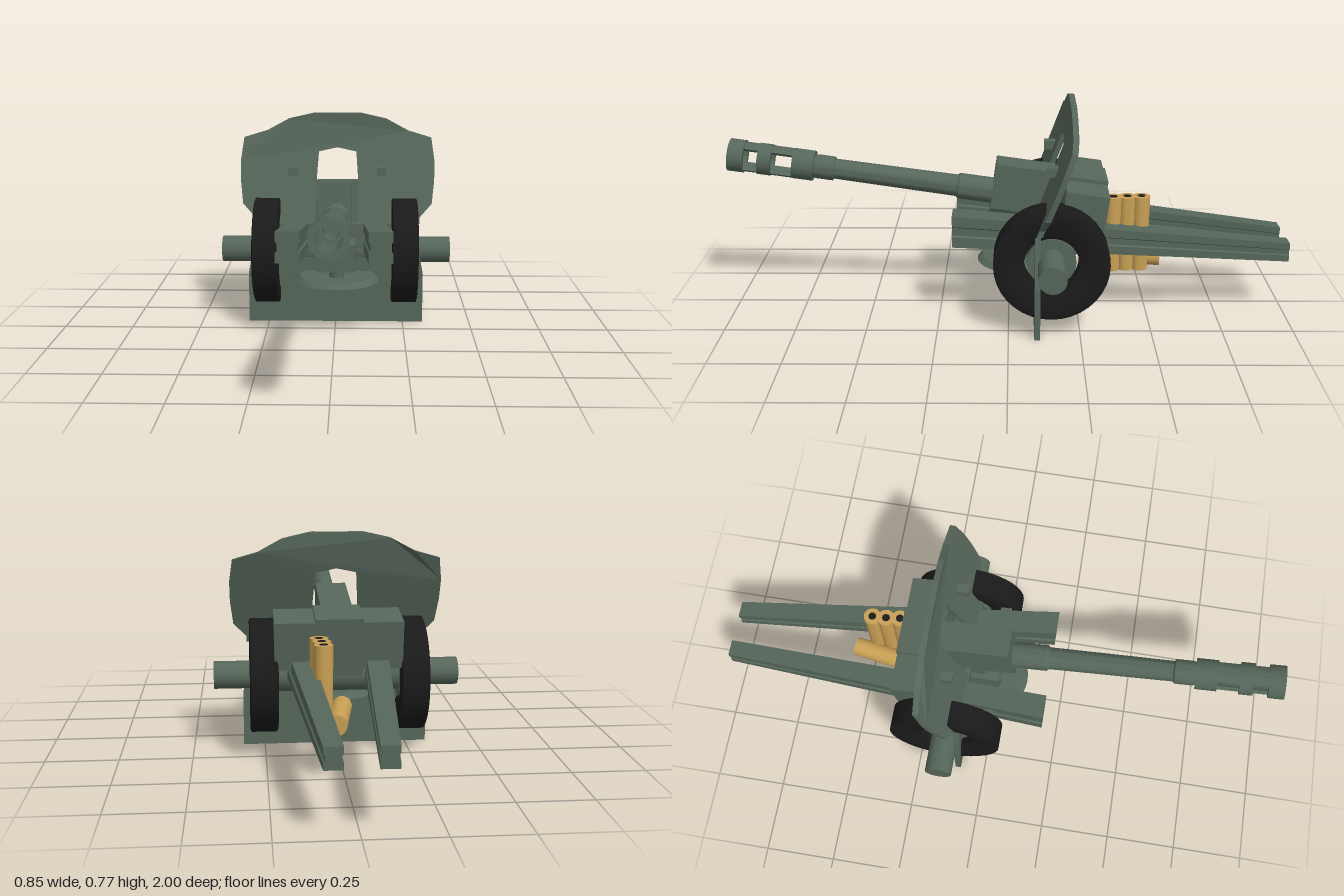
import * as THREE from 'three';
import { toCreasedNormals } from 'three/addons/utils/BufferGeometryUtils.js';

const paint = new THREE.MeshStandardMaterial({ color: 0x56665a });
const rubber = new THREE.MeshStandardMaterial({ color: 0x1a1a1a });
const brass = new THREE.MeshStandardMaterial({ color: 0xc9a055 });

function add(parent, name, geometry, x = 0, y = 0, z = 0, material = paint) {
  const mesh = new THREE.Mesh(geometry, material);
  mesh.name = name;
  mesh.position.set(x, y, z);
  parent.add(mesh);
  return mesh;
}

const box = (w, h, d) => new THREE.BoxGeometry(w, h, d);
const polygon = (pts) => new THREE.Shape(pts.map(([x, y]) => new THREE.Vector2(x, y)));

// Solid of revolution from a closed [radius, height] profile
function turned(profile, segments = 32) {
  const pts = [...profile, profile[0]].map(([r, h]) => new THREE.Vector2(r, h));
  return toCreasedNormals(new THREE.LatheGeometry(pts, segments), 0.5);
}

// Piece of a pipe wall between two angles, running along z
function pipeSector(inner, outer, from, to, length) {
  const s = new THREE.Shape();
  s.absarc(0, 0, outer, from, to, false);
  s.absarc(0, 0, inner, to, from, true);
  s.closePath();
  return toCreasedNormals(new THREE.ExtrudeGeometry(s, { depth: length, bevelEnabled: false, curveSegments: 12 }), 0.5);
}

// Leaning upper shield with a notch for the gun
function upperShield() {
  const half = [[0.305, 0.375], [0.305, 0.397], [0.35, 0.445], [0.36, 0.53], [0.361, 0.6],
    [0.35, 0.679], [0.265, 0.704], [0.182, 0.749], [0.09, 0.77]];
  const notch = [[-0.078, 0.375], [-0.078, 0.52], [-0.07, 0.63], [0, 0.645],
    [0.07, 0.63], [0.078, 0.52], [0.078, 0.375]];
  const left = half.map(([x, y]) => [-x, y]).reverse();
  const g = new THREE.ExtrudeGeometry(polygon([...half, ...left, ...notch]), { depth: 0.02, bevelEnabled: false });
  const p = g.attributes.position;
  for (let i = 0; i < p.count; i++) {
    const y = p.getY(i);
    const lean = y < 0.61 ? -0.125 - (y - 0.4) * 0.37 : -0.203 - Math.min(y - 0.61, 0.09) * 0.34;
    p.setZ(i, p.getZ(i) + lean);
  }
  g.computeVertexNormals();
  return g;
}

// Tapered trail leg with a groove down each side, for the +x side
function trailLeg() {
  const section = polygon([[-0.5, -0.5], [0.5, -0.5], [0.5, -0.17], [0.42, -0.12], [0.42, 0.12], [0.5, 0.17],
    [0.5, 0.5], [-0.5, 0.5], [-0.5, 0.17], [-0.42, 0.12], [-0.42, -0.12], [-0.5, -0.17]]);
  const g = new THREE.ExtrudeGeometry(section, { depth: 1, bevelEnabled: false });
  const p = g.attributes.position;
  const mix = THREE.MathUtils.lerp;
  for (let i = 0; i < p.count; i++) {
    const t = p.getZ(i);
    p.setXYZ(i, mix(0.079, 0.162, t) + p.getX(i) * mix(0.058, 0.086, t),
      mix(0.24, 0.353, t) + p.getY(i) * mix(0.068, 0.114, t), mix(-1, 0.195, t));
  }
  g.computeVertexNormals();
  return g;
}

function buildGun() {
  const gun = new THREE.Group();
  gun.name = 'gun';
  gun.position.set(0.005, 0.43, 0);
  gun.rotation.x = -0.1415;

  // Cradle: upright sides above, narrowing to the bottom
  const cradle = polygon([[-0.035, -0.085], [0.035, -0.085], [0.054, -0.05], [0.054, 0.115], [-0.054, 0.115], [-0.054, -0.05]]);
  add(gun, 'cradle', new THREE.ExtrudeGeometry(cradle, { depth: 0.395, bevelEnabled: false }), 0, 0, -0.335);
  add(gun, 'breechHousing', box(0.43, 0.165, 0.15), 0, 0.02, -0.26);
  add(gun, 'breechBlock', box(0.16, 0.2, 0.15), 0, 0.015, -0.262);

  // Barrel with sleeve, taper and collars
  const barrel = [[0.026, 0.02], [0.046, 0.02], [0.046, 0.18], [0.039, 0.19], [0.036, 0.625], [0.043, 0.63],
    [0.043, 0.69], [0.04, 0.7], [0.04, 0.73], [0.026, 0.73]];
  add(gun, 'barrel', turned(barrel)).rotation.x = Math.PI / 2;
  add(gun, 'bore', new THREE.CircleGeometry(0.027, 24), 0, 0, 0.6);

  // Muzzle brake: rings joined by top and bottom bridges, open at the sides
  const rings = [[0.7, 0.775, 0.054], [0.85, 0.897, 0.056], [0.947, 1.002, 0.058]];
  for (const [from, to, r] of rings)
    add(gun, 'muzzleRing', turned([[0.038, from], [r, from], [r, to], [0.038, to]])).rotation.x = Math.PI / 2;
  for (const middle of [Math.PI / 2, -Math.PI / 2])
    add(gun, 'muzzleBridge', pipeSector(0.039, 0.053, middle - 0.75, middle + 0.75, 0.25), 0, 0, 0.74);
  return gun;
}

function buildAmmunition() {
  const ammo = new THREE.Group();
  ammo.name = 'ammunition';
  const shell = (height) => turned([[0.012, 0.02], [0, 0], [0.03, 0], [0.031, height], [0.013, height], [0.013, 0.02]], 20);
  for (const [x, z] of [[0.075, -0.37], [0.069, -0.42], [0.067, -0.47]]) {
    add(ammo, 'standingShell', shell(0.275), x, 0.165, z, brass);
    add(ammo, 'shellHole', new THREE.CylinderGeometry(0.014, 0.014, 0.004, 16), x, 0.439, z, rubber);
  }
  // One shell lying on its side
  const lying = new THREE.CylinderGeometry(0.034, 0.034, 0.23, 20).rotateX(Math.PI / 2).rotateY(-0.16);
  add(ammo, 'lyingShell', lying, 0.013, 0.195, -0.435, brass);
  return ammo;
}

export function createModel() {
  const model = new THREE.Group();
  model.name = 'fieldGun';

  // Shields
  const lower = [[-0.325, 0], [0.325, 0], [0.325, 0.185], [0.305, 0.29], [0.29, 0.375], [-0.29, 0.375], [-0.305, 0.29], [-0.325, 0.185]];
  add(model, 'lowerShield', new THREE.ExtrudeGeometry(polygon(lower), { depth: 0.02, bevelEnabled: false }), 0, 0, -0.11);
  add(model, 'upperShield', upperShield(), 0.005);
  for (const s of [-1, 1])
    add(model, 'shieldBracket', box(0.033, 0.033, 0.045), 0.004 + s * 0.165, 0.562, -0.152);

  model.add(buildGun());

  // Turntable, pivot and front housing
  add(model, 'turntable', new THREE.CylinderGeometry(0.135, 0.154, 0.018, 32), 0.006, 0.187, -0.04);
  add(model, 'pivot', new THREE.CylinderGeometry(0.027, 0.027, 0.03, 20), 0.006, 0.206, -0.01);
  add(model, 'frontHousing', box(0.136, 0.103, 0.12), 0.005, 0.268, -0.045);
  add(model, 'gunSupport', box(0.1, 0.06, 0.2), 0.005, 0.345, -0.14);
  for (const s of [-1, 1])
    add(model, 'housingPanel', box(0.043, 0.045, 0.008), 0.005 + s * 0.03, 0.267, 0.016);

  // Wheels, axles and trail legs on both sides
  const tyre = turned([[0.095, -0.03], [0.145, -0.048], [0.19, -0.048], [0.2, -0.044], [0.2, 0.044],
    [0.19, 0.048], [0.145, 0.048], [0.095, 0.03]], 36);
  const leg = trailLeg();
  for (const s of [-1, 1]) {
    const side = new THREE.Group();
    side.name = s > 0 ? 'leftRunningGear' : 'rightRunningGear';
    const across = (name, geo, x, mat) => { add(side, name, geo, s * x, 0.266, -0.148, mat).rotation.z = Math.PI / 2; };
    across('tyre', tyre, 0.254, rubber);
    across('hub', new THREE.CylinderGeometry(0.085, 0.085, 0.05, 28), 0.24);
    across('axleEnd', new THREE.CylinderGeometry(0.048, 0.048, 0.2, 24), 0.325);
    across('axle', new THREE.CylinderGeometry(0.061, 0.061, 0.24, 24), 0.12);
    add(side, 'legLug', box(0.025, 0.036, 0.04), s * 0.205, 0.353, 0.0);

    // Mirrored leg
    const trail = add(side, 'trailLeg', leg);
    trail.scale.x = s;
    model.add(side);
  }

  model.add(buildAmmunition());
  return model;
}
